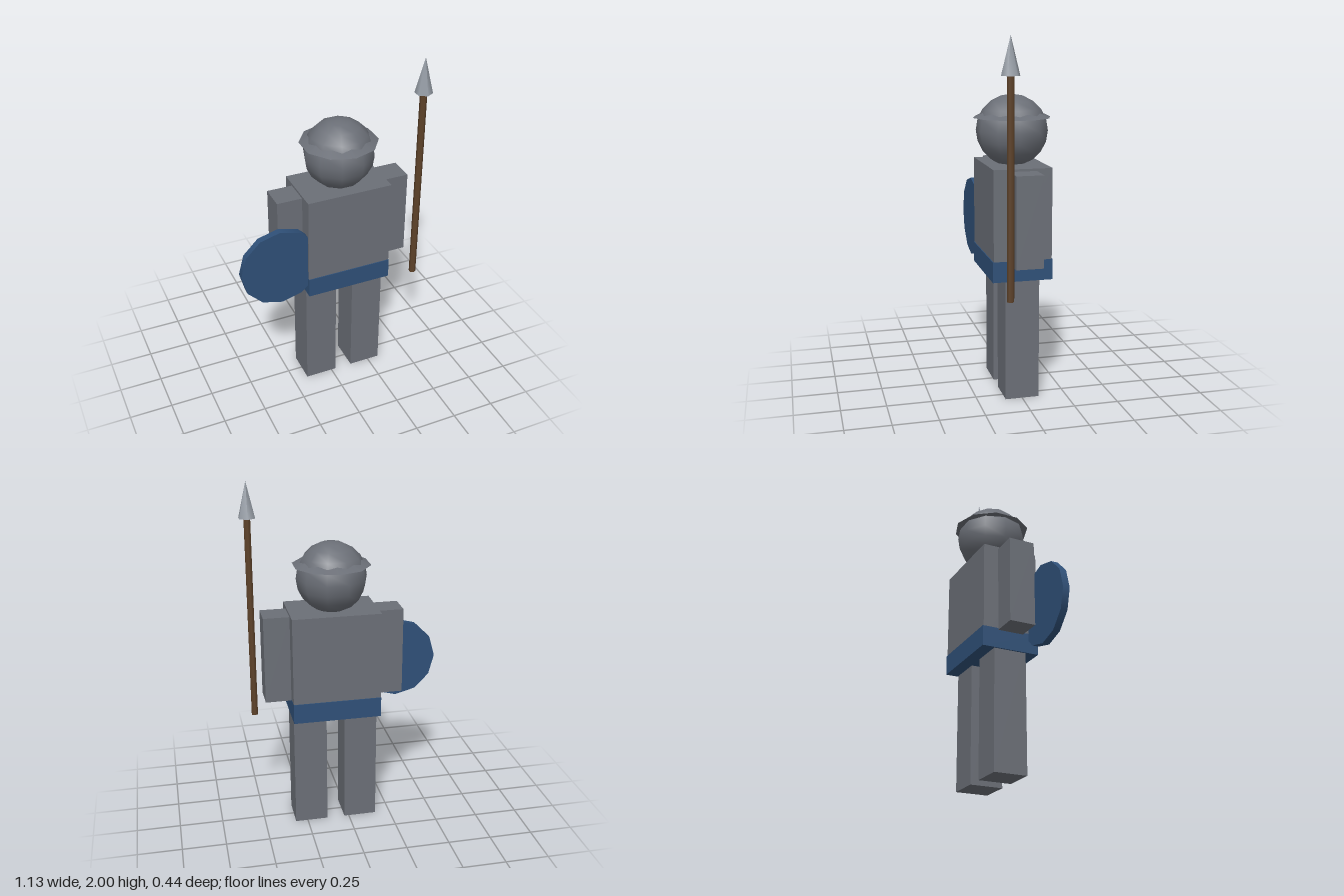
import * as THREE from 'three';

const material = (color) => new THREE.MeshStandardMaterial({ color });

export function createModel() {
  const model = new THREE.Group();
  model.name = 'spearman';

  const stone = material(0x6b6f77);
  const blue = material(0x2f5078);
  const wood = material(0x5f432a);
  const steel = material(0x969da6);

  const add = (parent, name, geometry, mat, x, y, z) => {
    const mesh = new THREE.Mesh(geometry, mat);
    mesh.name = name;
    mesh.position.set(x, y, z);
    parent.add(mesh);
    return mesh;
  };
  const box = (w, h, d) => new THREE.BoxGeometry(w, h, d);

  // Body stands a little to its left of centre, balancing the shield
  const body = new THREE.Group();
  body.name = 'body';
  body.position.x = 0.079;
  model.add(body);

  add(body, 'torso', box(0.5, 0.59, 0.325), stone, 0, 1.003, 0);
  add(body, 'skirt', box(0.502, 0.115, 0.335), blue, 0, 0.738, 0);

  // Limbs, mirrored
  for (const [side, s] of [['left', 1], ['right', -1]]) {
    add(body, side + 'Leg', box(0.19, 0.72, 0.19), stone, s * 0.147, 0.36, 0);
    add(body, side + 'Arm', box(0.15, 0.5, 0.15), stone, s * 0.321, 1.035, 0);
  }

  // Head with a shallow conical helmet brim
  add(body, 'head', new THREE.SphereGeometry(0.2, 10, 10), stone, 0, 1.478, 0);
  add(body, 'helmetBrim', new THREE.ConeGeometry(0.22, 0.1, 10), stone, 0, 1.6, 0);

  // Round shield held in front of the right arm
  const shield = add(model, 'shield', new THREE.CylinderGeometry(0.235, 0.235, 0.04, 12), blue, -0.33, 0.915, 0.13);
  shield.rotation.x = Math.PI / 2;

  // Spear beside the left arm
  const spear = new THREE.Group();
  spear.name = 'spear';
  spear.position.set(0.52, 0, 0.118);
  model.add(spear);
  add(spear, 'spearShaft', new THREE.CylinderGeometry(0.02, 0.02, 1.17, 6), wood, 0, 1.215, 0);
  add(spear, 'spearTip', new THREE.ConeGeometry(0.05, 0.2, 6), steel, 0, 1.9, 0);

  return model;
}
